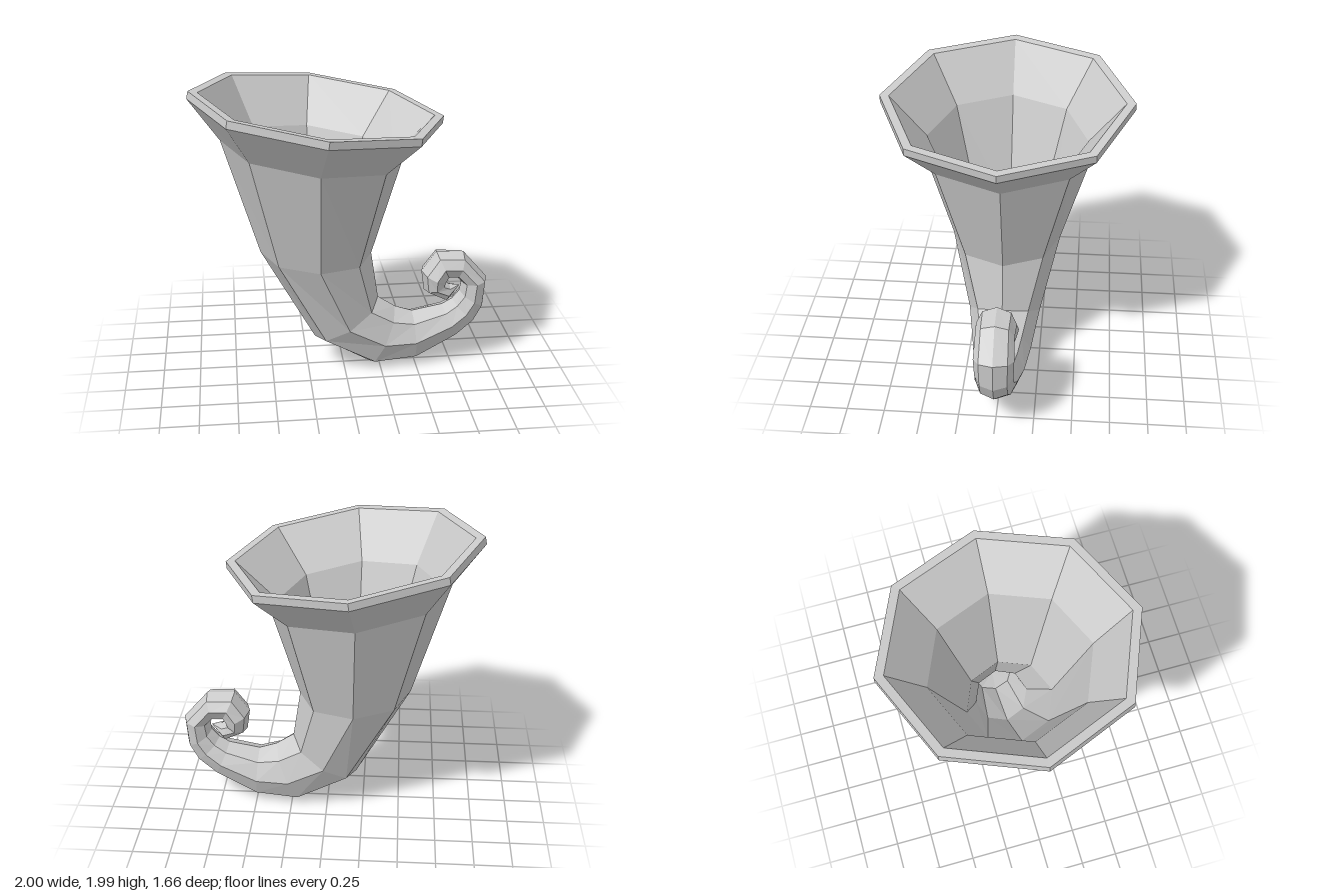
import * as THREE from 'three';

const SIDES = 8;
const material = new THREE.MeshStandardMaterial({ color: 0xcccccc, flatShading: true });

// Skin octagonal rings. Each ring: [outer x, outer y, inner x, inner y, half width in z];
// a half width of 0 closes the skin in a point.
function loft(name, rings) {
  const positions = [];
  const index = [];
  for (const [ax, ay, bx, by, w] of rings) {
    for (let j = 0; j < SIDES; j++) {
      const t = (j / SIDES) * Math.PI * 2;
      const k = (1 - Math.cos(t)) / 2;
      positions.push(ax + (bx - ax) * k, ay + (by - ay) * k, w * Math.sin(t));
    }
  }
  for (let i = 0; i < rings.length - 1; i++) {
    for (let j = 0; j < SIDES; j++) {
      const a = i * SIDES + j;
      const b = i * SIDES + ((j + 1) % SIDES);
      const c = b + SIDES;
      const d = a + SIDES;
      if (rings[i + 1][4] > 0) index.push(a, d, c);
      if (rings[i][4] > 0) index.push(a, c, b);
    }
  }
  const indexed = new THREE.BufferGeometry();
  indexed.setAttribute('position', new THREE.Float32BufferAttribute(positions, 3));
  indexed.setIndex(index);
  const geometry = indexed.toNonIndexed();
  geometry.computeVertexNormals();
  const mesh = new THREE.Mesh(geometry, material);
  mesh.name = name;
  return mesh;
}

export function createModel() {
  const group = new THREE.Group();
  group.name = 'curledHorn';

  const rimTop = [-0.99, 1.99, 0.66, 1.78, 0.83];
  const rimBottom = [-1.0, 1.94, 0.655, 1.73, 0.83];
  const rimInner = [-0.93, 1.98, 0.60, 1.785, 0.77];
  const bend = [-0.2, 0.22, 0.24, 0.5, 0.245];

  // Flared mouth and straight body
  group.add(loft('body', [
    rimBottom,
    [-0.8, 1.66, 0.4, 1.51, 0.6],
    [-0.56, 0.87, 0.19, 0.83, 0.37],
    bend,
  ]));

  // Tail sweeping up and curling in to a blunt tip
  group.add(loft('curledTail', [
    bend,
    [0.18, 0.005, 0.36, 0.42, 0.2],
    [0.5, 0.03, 0.48, 0.38, 0.17],
    [0.79, 0.19, 0.69, 0.42, 0.14],
    [0.92, 0.3, 0.76, 0.46, 0.125],
    [0.98, 0.42, 0.81, 0.52, 0.125],
    [0.995, 0.62, 0.82, 0.59, 0.13],
    [0.83, 0.81, 0.78, 0.63, 0.125],
    [0.64, 0.82, 0.73, 0.63, 0.13],
    [0.54, 0.68, 0.72, 0.61, 0.14],
    [0.56, 0.54, 0.71, 0.59, 0.12],
    [0.71, 0.455, 0.74, 0.57, 0.08],
    [0.81, 0.56, 0.81, 0.56, 0],
  ]));

  // Lip around the mouth
  group.add(loft('rim', [rimInner, rimTop, rimBottom]));

  // Hollow inside, from its closed bottom up to the lip
  group.add(loft('hollow', [
    [0.27, 0.2, 0.27, 0.2, 0],
    [0.18, 0.08, 0.33, 0.36, 0.14],
    [-0.14, 0.27, 0.18, 0.47, 0.19],
    [-0.49, 0.88, 0.11, 0.84, 0.3],
    [-0.73, 1.65, 0.33, 1.52, 0.535],
    rimInner,
  ]));

  return group;
}
